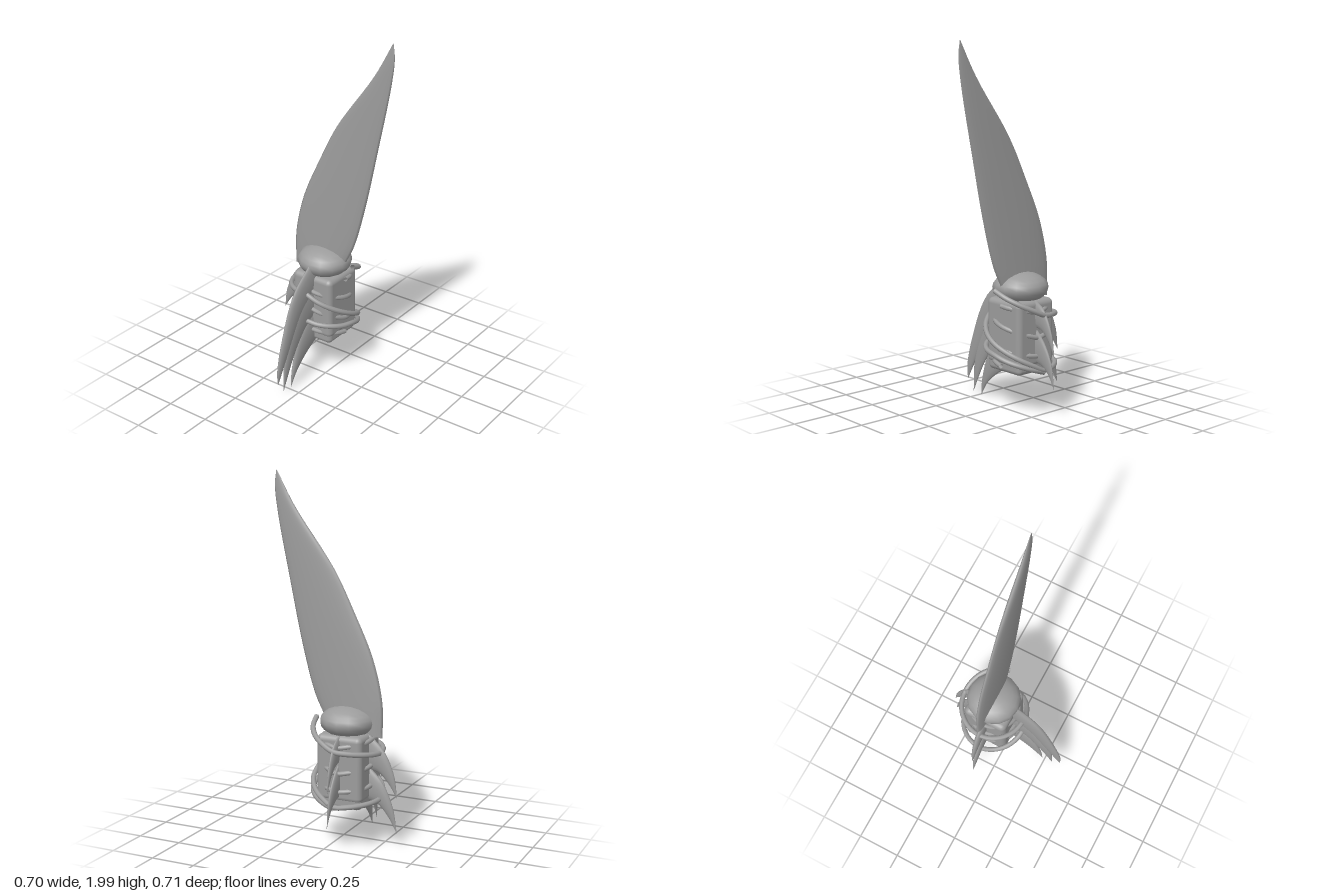
import * as THREE from 'three';
import { RoundedBoxGeometry } from 'three/addons/geometries/RoundedBoxGeometry.js';

const stone = new THREE.MeshStandardMaterial({ color: 0x9c9c9c, side: THREE.DoubleSide });
stone.name = 'grey';

const AXIS = { x: 0.087, z: -0.067 };

function add(parent, name, geometry) {
  const mesh = new THREE.Mesh(geometry, stone);
  mesh.name = name;
  parent.add(mesh);
  return mesh;
}

// Lens-shaped horn lofted between an outer and an inner edge, closing in a shared tip
function horn(outer, inner, halfThickness, rings = 22, sides = 14) {
  const curve = pts => new THREE.CatmullRomCurve3(pts.map(([u, v]) => new THREE.Vector3(u, v, 0)));
  const a = curve(outer), b = curve(inner);
  const pos = [], idx = [];
  for (let i = 0; i <= rings; i++) {
    const t = i / rings;
    const p = a.getPoint(t), q = b.getPoint(t);
    const w = halfThickness * (1 - Math.pow(t, 2.3));
    for (let j = 0; j < sides; j++) {
      const ang = (j / sides) * Math.PI * 2;
      const m = p.clone().lerp(q, (1 - Math.cos(ang)) / 2);
      pos.push(m.x, m.y, Math.sin(ang) * w);
    }
  }
  for (let i = 0; i < rings; i++) {
    for (let j = 0; j < sides; j++) {
      const k = (j + 1) % sides;
      const A = i * sides + j, B = i * sides + k, C = A + sides, D = B + sides;
      idx.push(A, B, C, B, D, C);
    }
  }
  // base cap with its own vertices, so the rim stays sharp
  const base = pos.length / 3;
  pos.push(...pos.slice(0, sides * 3));
  for (let j = 1; j < sides - 1; j++) idx.push(base, base + j + 1, base + j);
  const g = new THREE.BufferGeometry();
  g.setAttribute('position', new THREE.Float32BufferAttribute(pos, 3));
  g.setIndex(idx);
  g.computeVertexNormals();
  return g;
}

// Cord through [turns, radius, height]; turn 0 is the front, a quarter is the left side
function cord(points, thickness) {
  const path = new THREE.CatmullRomCurve3(points.map(([turn, r, y]) => {
    const a = turn * Math.PI * 2;
    return new THREE.Vector3(Math.sin(a) * r, y, Math.cos(a) * r);
  }));
  return new THREE.TubeGeometry(path, 120, thickness, 8);
}

// Resample a wrap finely so that it stays round
function wrap(heights, radius, start = 0) {
  const pts = [];
  const n = (heights.length - 1) * 4;
  for (let i = 0; i <= n; i++) {
    const s = i / 4, k = Math.min(Math.floor(s), heights.length - 2);
    const y = THREE.MathUtils.lerp(heights[k], heights[k + 1], s - k);
    pts.push([start + s / 4, radius, y]);
  }
  return pts;
}

export function createModel() {
  const model = new THREE.Group();
  model.name = 'bladedTotem';
  const body = new THREE.Group();
  body.name = 'body';
  body.position.set(AXIS.x, 0, AXIS.z);
  model.add(body);

  // Block, foot and domed head
  add(body, 'block', new RoundedBoxGeometry(0.26, 0.36, 0.26, 3, 0.03)).position.y = 0.45;
  add(body, 'foot', new RoundedBoxGeometry(0.25, 0.09, 0.25, 3, 0.025)).position.y = 0.278;
  const head = add(body, 'head', new THREE.SphereGeometry(0.152, 14, 12));
  head.scale.y = 0.56;
  head.position.y = 0.686;

  // Outer cord wound loosely, inner cord sunk in the block
  add(body, 'outerCord', cord(wrap([0.69, 0.56, 0.53, 0.55, 0.4, 0.26, 0.28, 0.38, 0.34, 0.25], 0.187), 0.014));
  add(body, 'innerCord', cord(wrap([0.6, 0.57, 0.6, 0.55, 0.49, 0.43, 0.46, 0.44, 0.36, 0.33, 0.35, 0.31, 0.27], 0.14), 0.013));

  // Tall blade leaning forward
  const blade = add(body, 'blade', horn(
    [[-0.14, 0.7], [-0.197, 0.82], [-0.267, 1.07], [-0.337, 1.4], [-0.412, 1.78], [-0.427, 1.92], [-0.417, 2.0]],
    [[0.199, 0.61], [0.197, 0.8], [0.143, 1.03], [0.035, 1.27], [-0.08, 1.49], [-0.31, 1.81], [-0.417, 2.0]],
    0.028, 36, 18));
  blade.rotation.y = Math.PI / 2;

  // Claws on three sides: [outer edge, inner edge], measured out from the axis
  const sides = [
    { name: 'rightClaw', turn: Math.PI, thick: 0.02, claws: [
      [[[0.12, 0.72], [0.28, 0.585], [0.385, 0.36], [0.438, 0.17], [0.437, 0.08]],
        [[0.1, 0.52], [0.23, 0.42], [0.33, 0.27], [0.4, 0.15], [0.437, 0.08]]],
      [[[0.11, 0.62], [0.24, 0.51], [0.32, 0.37], [0.377, 0.18], [0.387, 0.02]],
        [[0.09, 0.38], [0.2, 0.32], [0.29, 0.21], [0.35, 0.1], [0.387, 0.02]]],
      [[[0.1, 0.44], [0.19, 0.36], [0.26, 0.26], [0.31, 0.11], [0.322, 0.01]],
        [[0.07, 0.225], [0.16, 0.18], [0.23, 0.13], [0.28, 0.08], [0.322, 0.01]]],
    ] },
    { name: 'leftClaw', turn: 0, thick: 0.014, claws: [
      [[[0.1, 0.64], [0.18, 0.59], [0.24, 0.47], [0.263, 0.34]],
        [[0.1, 0.49], [0.17, 0.47], [0.22, 0.42], [0.263, 0.34]]],
      [[[0.1, 0.5], [0.18, 0.42], [0.238, 0.31], [0.263, 0.165]],
        [[0.1, 0.3], [0.17, 0.28], [0.22, 0.24], [0.263, 0.165]]],
    ] },
    { name: 'backClaw', turn: Math.PI / 2, thick: 0.02, claws: [
      [[[0.11, 0.64], [0.21, 0.54], [0.265, 0.42], [0.285, 0.29]],
        [[0.1, 0.44], [0.18, 0.42], [0.24, 0.36], [0.285, 0.29]]],
      [[[0.1, 0.47], [0.2, 0.37], [0.26, 0.24], [0.285, 0.1]],
        [[0.1, 0.27], [0.17, 0.25], [0.23, 0.19], [0.285, 0.1]]],
    ] },
  ];
  for (const { name, turn, thick, claws } of sides) {
    claws.forEach(([outer, inner], i) => {
      add(body, name + (i + 1), horn(outer, inner, thick)).rotation.y = turn;
    });
  }
  return model;
}
